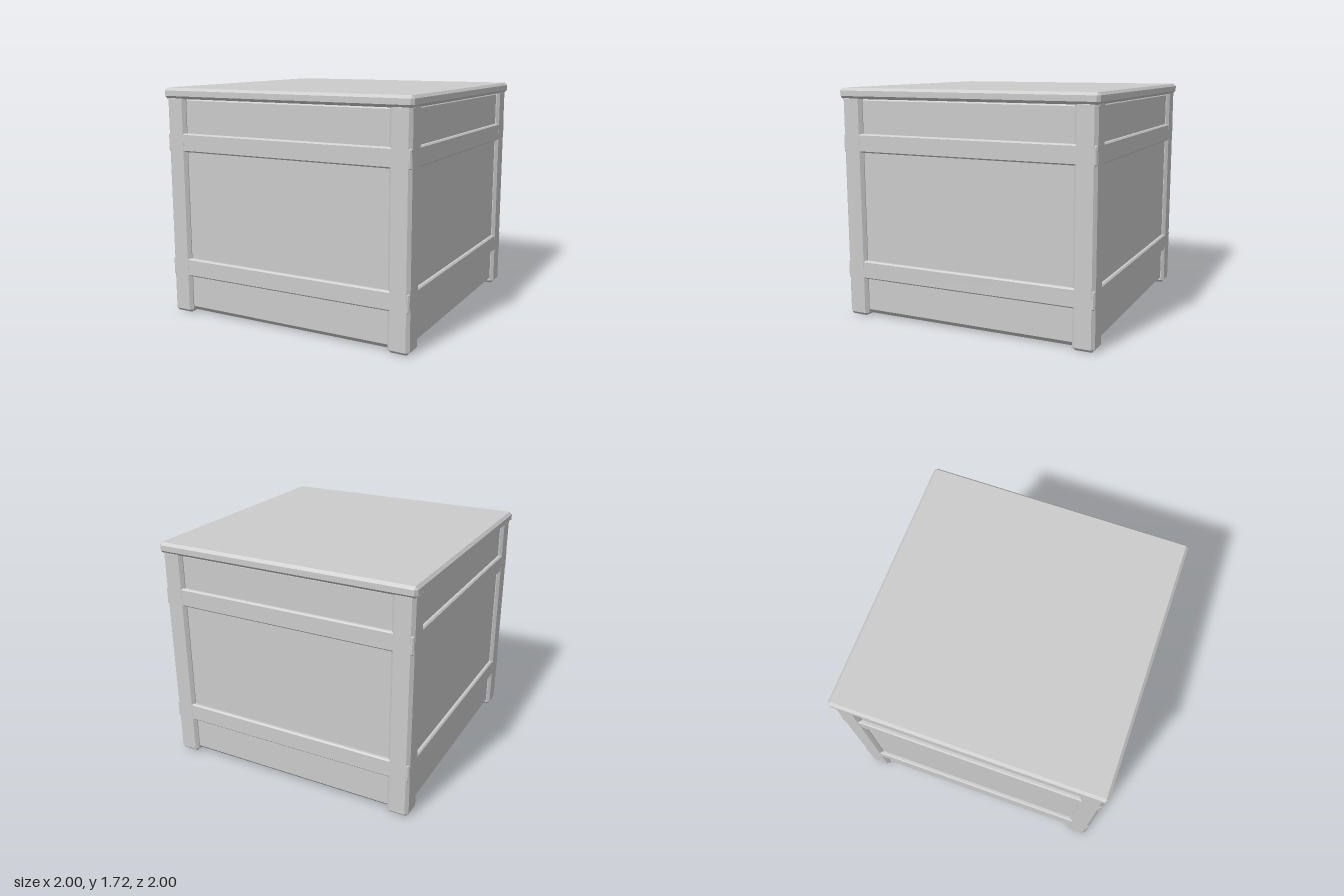
import * as THREE from 'three';
import { ConvexGeometry } from 'three/addons/geometries/ConvexGeometry.js';

const material = new THREE.MeshStandardMaterial({ color: 0xcccccc, flatShading: true });

// Box with flat chamfers on every edge, spanning y0..y1
function chamferBox(name, width, y0, y1, depth, bevel, x = 0, z = 0) {
  const half = [width / 2, (y1 - y0) / 2, depth / 2];
  const points = [];
  for (const sx of [-1, 1]) for (const sy of [-1, 1]) for (const sz of [-1, 1]) {
    const signs = [sx, sy, sz];
    // Each corner becomes a small triangle, one point per adjoining face
    for (let face = 0; face < 3; face++) {
      const p = signs.map((s, i) => s * (half[i] - (i === face ? 0 : bevel)));
      points.push(new THREE.Vector3(...p));
    }
  }
  const mesh = new THREE.Mesh(new ConvexGeometry(points), material);
  mesh.name = name;
  mesh.position.set(x, (y0 + y1) / 2, z);
  return mesh;
}

export function createModel() {
  const model = new THREE.Group();
  model.name = 'paneledCrate';

  // Recessed panels and underside
  model.add(chamferBox('panelCore', 1.914, 0.012, 1.66, 1.914, 0.037));

  // Corner posts
  for (const sx of [-1, 1]) for (const sz of [-1, 1]) {
    model.add(chamferBox('cornerPost', 0.163, 0, 1.66, 0.163, 0.022, sx * 0.9035, sz * 0.9035));
  }

  // Rails running around all four sides
  model.add(chamferBox('lowerRail', 1.968, 0.292, 0.43, 1.968, 0.01));
  model.add(chamferBox('upperRail', 1.968, 1.245, 1.383, 1.968, 0.01));

  // Lid
  model.add(chamferBox('lid', 2, 1.635, 1.715, 2, 0.02));

  return model;
}
